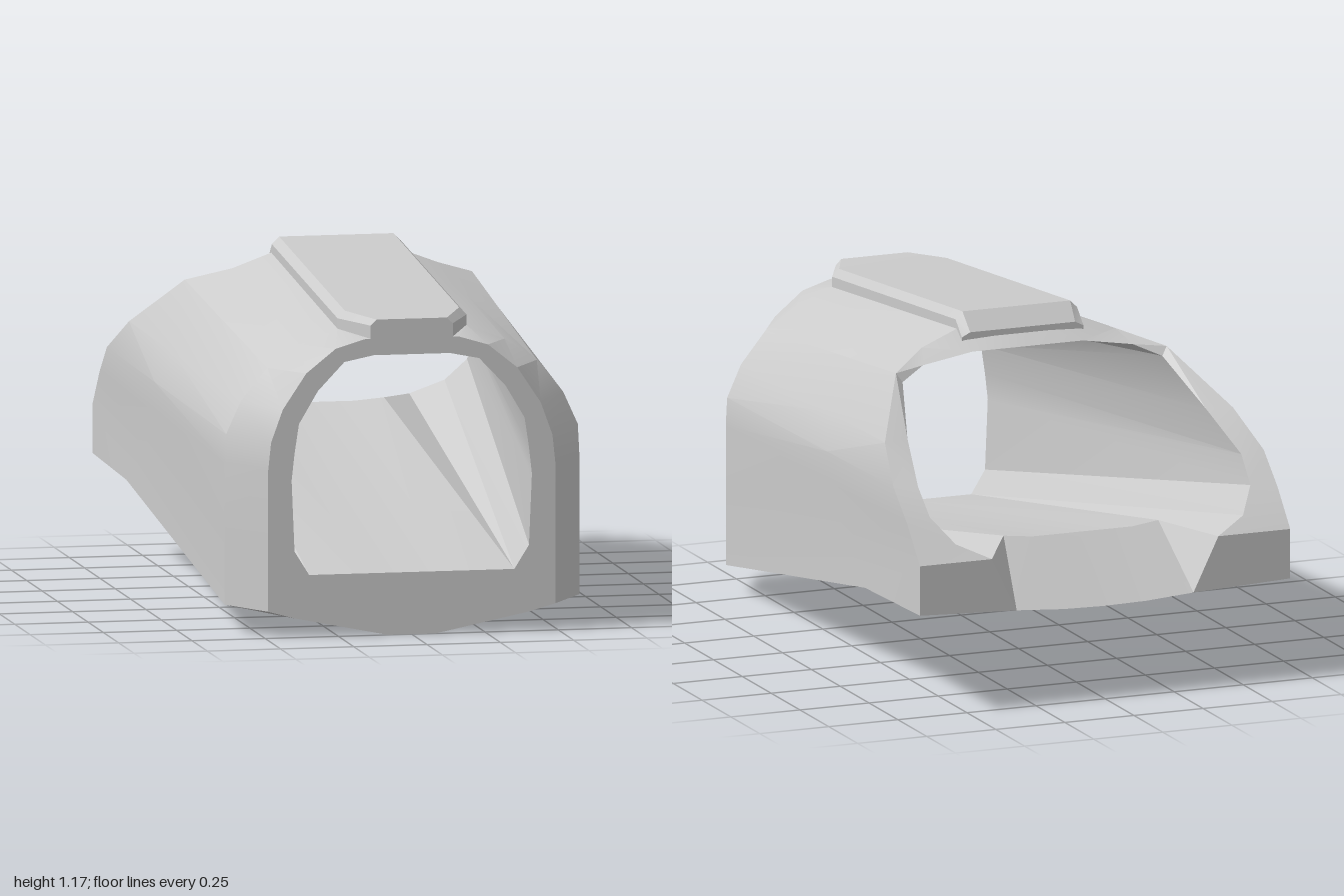
import * as THREE from 'three';
import { toCreasedNormals } from 'three/addons/utils/BufferGeometryUtils.js';

const material = new THREE.MeshStandardMaterial({ color: 0xcccccc });
const V = (p) => new THREE.Vector3(...p);

// Skin a loop of rails (all with the same point count), splitting each quad on its shorter diagonal.
function skin(rails, closed, name) {
  const pos = [];
  const tri = (...pts) => pts.forEach((p) => pos.push(p.x, p.y, p.z));
  const n = rails.length, m = rails[0].length;
  for (let i = 0; i < n; i++) {
    const r = rails[i], s = rails[(i + 1) % n];
    for (let j = 0; j < (closed ? m : m - 1); j++) {
      const k = (j + 1) % m;
      const a = r[j], b = r[k], c = s[k], d = s[j];
      if (a.distanceTo(c) < b.distanceTo(d)) { tri(a, b, c); tri(a, c, d); }
      else { tri(a, b, d); tri(b, c, d); }
    }
  }
  if (!closed) {
    for (let i = 1; i < n - 1; i++) {
      tri(rails[0][0], rails[i][0], rails[i + 1][0]);
      tri(rails[0][m - 1], rails[i + 1][m - 1], rails[i][m - 1]);
    }
  }
  const geo = new THREE.BufferGeometry();
  geo.setAttribute('position', new THREE.Float32BufferAttribute(pos, 3));
  const mesh = new THREE.Mesh(toCreasedNormals(geo, 0.32), material);
  mesh.name = name;
  return mesh;
}

const mirror = (rail) => rail.map((p) => new THREE.Vector3(-p.x, p.y, p.z));

// A wall rail: front lip, shoulder, rear cut edge, then inner rear edge and inner front lip.
function wallRail(lip, shoulder, cut, innerCut, innerLip) {
  const a = V([...shoulder, 0.84]), c = V(cut);
  return [V([...lip, 1]), a, a.clone().lerp(c, 0.6), c, V(innerCut), V([...innerLip, 1])];
}

export function createModel() {
  const group = new THREE.Group();

  // Belly and floor rails: four points underneath, then the notch edge and the floor front.
  const bottomCentre = [[0, 0, 1], [0, 0.01, 0.84], [0, 0.245, -0.36], [0, 0.32, -1], [0, 0.53, -0.8], [0, 0.21, 1]].map(V);
  const topCentre = wallRail([0, 1.005], [0, 1.02], [0, 1.13, -0.24], [0, 1.06, -0.33], [0, 0.945]);
  const half = [
    [[0.08, 0, 1], [0.1, 0.01, 0.84], [0.12, 0.245, -0.36], [0.15, 0.323, -1], [0.18, 0.53, -0.8], [0.13, 0.21, 1]].map(V),
    [[0.4, 0.065, 1], [0.45, 0.06, 0.84], [0.42, 0.28, -0.4], [0.32, 0.335, -1], [0.28, 0.54, -0.79], [0.25, 0.21, 1]].map(V),
    [[0.49, 0.09, 1], [0.605, 0.095, 0.84], [0.66, 0.33, -0.5], [0.67, 0.35, -1], [0.41, 0.52, -1], [0.35, 0.21, 1]].map(V),
    // Side wall and arch rails
    wallRail([0.49, 0.35], [0.605, 0.35], [0.67, 0.52, -1], [0.52, 0.57, -0.95], [0.4, 0.29]),
    wallRail([0.49, 0.565], [0.605, 0.575], [0.67, 0.64, -0.89], [0.58, 0.65, -0.87], [0.41, 0.53]),
    wallRail([0.48, 0.66], [0.6, 0.67], [0.67, 0.74, -0.77], [0.585, 0.735, -0.78], [0.4, 0.62]),
    wallRail([0.44, 0.77], [0.55, 0.78], [0.63, 0.85, -0.6], [0.54, 0.85, -0.58], [0.385, 0.72]),
    wallRail([0.36, 0.89], [0.46, 0.89], [0.49, 1.02, -0.36], [0.47, 0.99, -0.37], [0.32, 0.83]),
    wallRail([0.26, 0.97], [0.35, 0.965], [0.35, 1.07, -0.25], [0.38, 1.03, -0.33], [0.23, 0.925]),
    wallRail([0.16, 1.0], [0.22, 1.015], [0.22, 1.12, -0.24], [0.2, 1.06, -0.33], [0.13, 0.945]),
  ];
  const shell = [bottomCentre, ...half, topCentre, ...half.map(mirror).reverse()];
  group.add(skin(shell, true, 'hollowShell'));

  // Raised top rail: bottom half-width, bottom y, shoulder y, top half-width, top y, z
  const stations = [
    [0.14, 0.99, 1.045, 0.12, 1.065, 1],
    [0.22, 1.0, 1.05, 0.195, 1.075, 0.84],
    [0.22, 1.11, 1.15, 0.195, 1.175, -0.23],
    [0.22, 1.075, 1.1, 0.19, 1.115, -0.285],
  ];
  const side = [
    stations.map(([w, y, , , , z]) => V([w, y, z])),
    stations.map(([w, , y, , , z]) => V([w, y, z])),
    stations.map(([, , , w, y, z]) => V([w, y, z])),
  ];
  group.add(skin([...side, ...side.map(mirror).reverse()], false, 'topRail'));

  return group;
}
